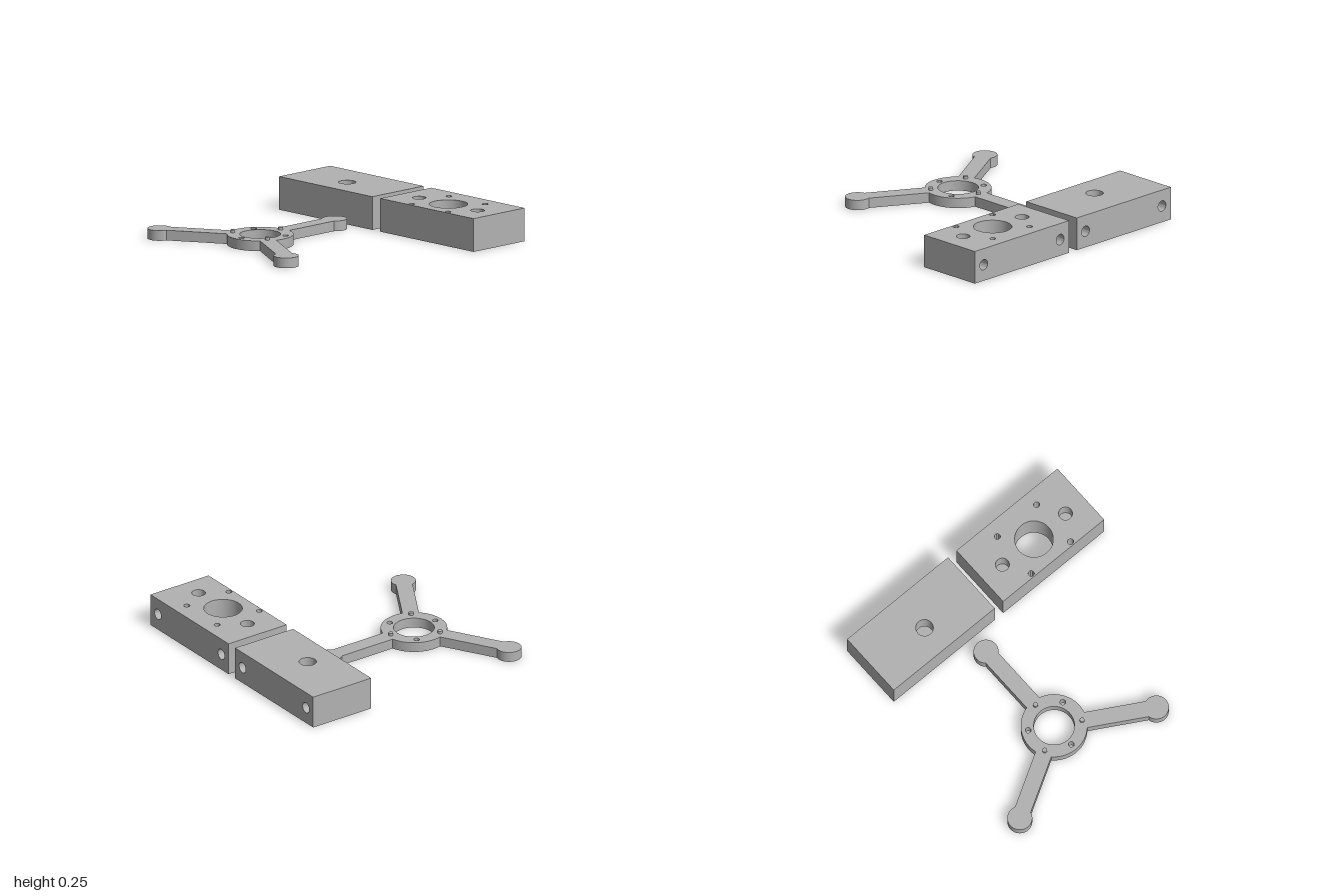
import * as THREE from 'three';
import { toCreasedNormals } from 'three/addons/utils/BufferGeometryUtils.js';

const grey = new THREE.MeshStandardMaterial({ color: 0xb2b2b2, side: THREE.DoubleSide });
grey.name = 'plain grey';

const W = 0.96, H = 0.245, D = 0.515; // block size
const BORE_Z = 0.04;                  // bores sit slightly in front of the block's middle
const deg = THREE.MathUtils.degToRad;

function add(parent, name, geometry, x = 0, y = 0, z = 0) {
  const mesh = new THREE.Mesh(geometry, grey);
  mesh.name = name;
  mesh.position.set(x, y, z);
  parent.add(mesh);
  return mesh;
}

function circleHole(shape, x, y, r) {
  shape.holes.push(new THREE.Path().absarc(x, y, r, 0, Math.PI * 2, true));
}

// Flat rectangle centred on the origin, pierced by [x, y, radius] circles
function face(w, h, holes = []) {
  const shape = new THREE.Shape([
    new THREE.Vector2(-w / 2, -h / 2), new THREE.Vector2(w / 2, -h / 2),
    new THREE.Vector2(w / 2, h / 2), new THREE.Vector2(-w / 2, h / 2)]);
  for (const [x, y, r] of holes) circleHole(shape, x, y, r);
  return new THREE.ShapeGeometry(shape, 24);
}

// Inner wall of a hole, turned from [radius, depth] points
function bore(profile) {
  const points = profile.map(([r, y]) => new THREE.Vector2(r, y));
  return toCreasedNormals(new THREE.LatheGeometry(points, 48), 0.6);
}

// Each vertical bore: { x, z, profile }, plus two blind holes in the back
function createBlock(name, bores) {
  const block = new THREE.Group();
  block.name = name;
  const openings = (level, flip) => bores.flatMap(({ x, z, profile }) =>
    profile.filter(([r, y]) => y === level && r > 0).map(([r]) => [x, flip * z, r]));
  const backHoles = [-0.39, 0.39].map((x) => [x, 0, 0.04]);

  add(block, 'topFace', face(W, D, openings(H, -1)).rotateX(-Math.PI / 2), 0, H, 0);
  add(block, 'bottomFace', face(W, D, openings(0, 1)).rotateX(Math.PI / 2));
  add(block, 'frontFace', face(W, H), 0, H / 2, D / 2);
  add(block, 'backFace', face(W, H, backHoles).rotateY(Math.PI), 0, H / 2, -D / 2);
  for (const s of [-1, 1]) {
    add(block, 'endFace', face(D, H).rotateY(s * Math.PI / 2), s * W / 2, H / 2, 0);
  }
  for (const { x, z, profile } of bores) add(block, 'bore', bore(profile), x, 0, z);
  for (const [x, , r] of backHoles) {
    add(block, 'backHole', bore([[r, 0], [r, 0.3], [0, 0.3]]).rotateX(Math.PI / 2), x, H / 2, -D / 2);
  }
  return block;
}

// Three-armed spider: ring hub, straight arms and round feet
function createSpider() {
  const spider = new THREE.Group();
  spider.name = 'threeArmSpider';
  const hubR = 0.24, footR = 0.09, halfArm = 0.06, reach = 0.75;
  const thickness = 0.075, pocketDepth = 0.05;
  const hubGap = Math.asin(halfArm / hubR), footGap = Math.asin(halfArm / footR);
  const arms = [90, 210, 330].map(deg);

  const layer = (height, pockets) => {
    const shape = new THREE.Shape();
    for (const a of arms) {
      const fx = reach * Math.cos(a), fy = reach * Math.sin(a);
      shape.absarc(fx, fy, footR, a - Math.PI + footGap, a + Math.PI - footGap, false);
      shape.absarc(0, 0, hubR, a + hubGap, a + deg(120) - hubGap, false);
    }
    circleHole(shape, 0, 0, 0.147);
    for (const a of arms) {
      // Screw hole opposite each arm
      circleHole(shape, -0.19 * Math.cos(a), -0.19 * Math.sin(a), 0.021);
      if (!pockets) continue;
      // Hexagonal nut pocket under each foot
      const hex = [];
      for (let i = 0; i < 6; i++) {
        const t = a + deg(30 - 60 * i);
        hex.push(new THREE.Vector2(reach * Math.cos(a) + 0.07 * Math.cos(t),
          reach * Math.sin(a) + 0.07 * Math.sin(t)));
      }
      shape.holes.push(new THREE.Path(hex));
    }
    const geo = new THREE.ExtrudeGeometry(shape, { depth: height, bevelEnabled: false, curveSegments: 32 });
    return toCreasedNormals(geo.rotateX(-Math.PI / 2), 0.5);
  };
  add(spider, 'lowerBody', layer(pocketDepth, true));
  add(spider, 'upperBody', layer(thickness - pocketDepth, false), 0, pocketDepth, 0);

  // Locating pins at the root of each arm
  for (const a of arms) {
    add(spider, 'locatingPin', new THREE.CylinderGeometry(0.017, 0.017, 0.03, 24),
      0.205 * Math.cos(a), 0.08, -0.205 * Math.sin(a));
  }
  return spider;
}

export function createModel() {
  const model = new THREE.Group();
  model.name = 'clampBlocksAndSpider';

  // Block with a stepped centre bore and dowel holes underneath
  const dowelDepth = 0.12;
  const stepped = createBlock('steppedBlock', [
    { x: 0, z: BORE_Z, profile: [[0.139, 0], [0.139, 0.1], [0.063, 0.1], [0.063, H]] },
    ...[-0.3, 0.3].map((x) => ({ x, z: BORE_Z, profile: [[0.05, 0], [0.05, dowelDepth], [0, dowelDepth]] })),
  ]);
  stepped.position.set(-0.52, 0, -0.688);

  // Block with a wide through bore, four screw holes and dowel holes on top
  const screws = [];
  for (const sx of [-1, 1]) for (const sz of [-1, 1]) {
    screws.push({ x: sx * 0.187, z: BORE_Z + sz * 0.187, profile: [[0.022, 0], [0.022, H]] });
  }
  const through = createBlock('throughBoreBlock', [
    { x: 0, z: BORE_Z, profile: [[0.139, 0], [0.139, H]] },
    ...[-0.3, 0.3].map((x) => ({ x, z: BORE_Z, profile: [[0.05, H], [0.05, H - dowelDepth], [0, H - dowelDepth]] })),
    ...screws,
  ]);
  through.position.set(0.52, 0, -0.688);

  const spider = createSpider();
  spider.position.set(-0.263, 0, 0.482);

  model.add(stepped, through, spider);
  return model;
}
